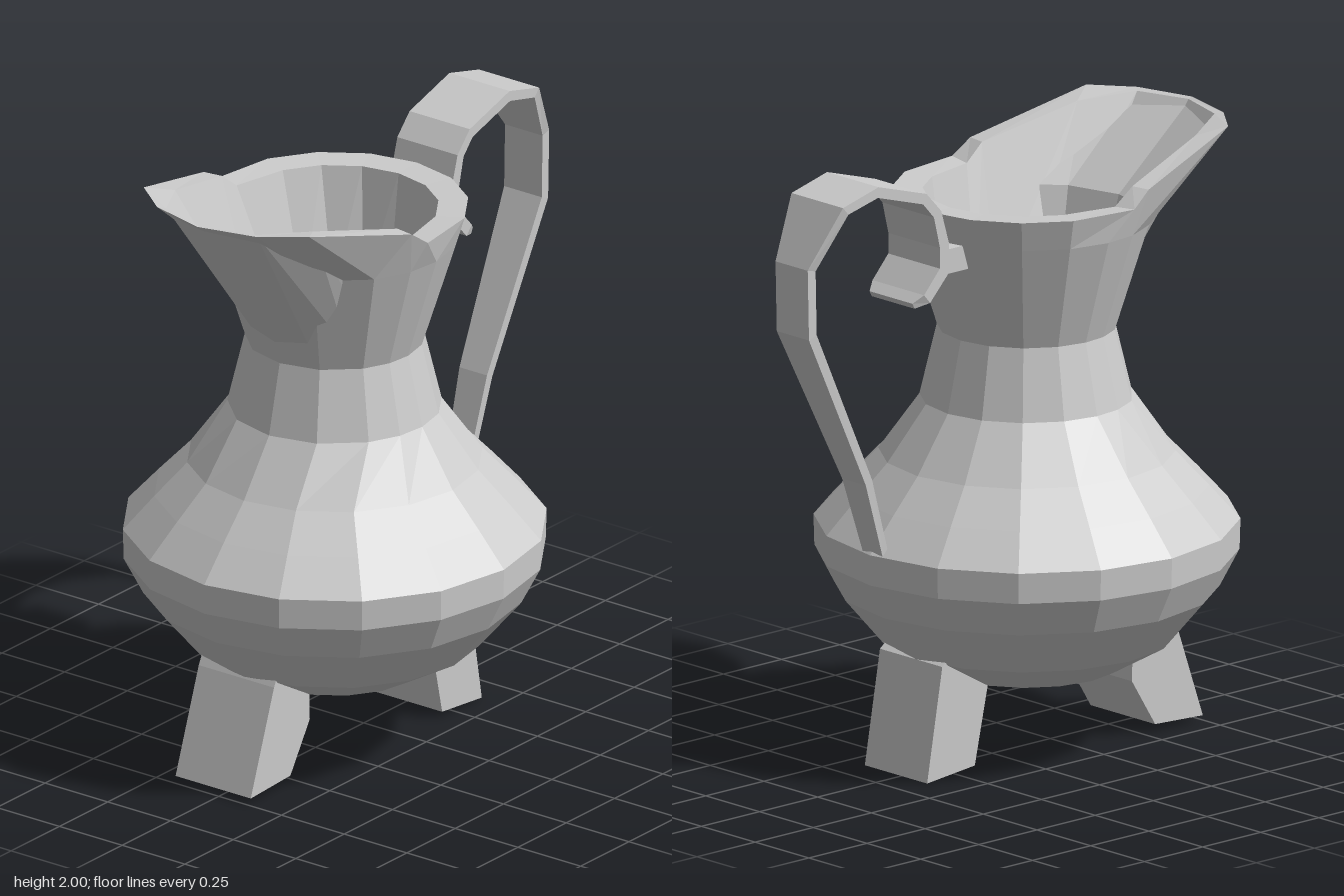
import * as THREE from 'three';

const V = (x, y, z) => new THREE.Vector3(x, y, z);
const material = new THREE.MeshStandardMaterial({ color: 0xcccccc, flatShading: true, side: THREE.DoubleSide });

function addMesh(group, name, geometry) {
  const mesh = new THREE.Mesh(geometry, material);
  mesh.name = name;
  group.add(mesh);
  return mesh;
}

// Skin a stack of closed rings; rings run counterclockwise about the stacking direction
function loft(rings) {
  const points = [];
  for (let i = 0; i < rings.length - 1; i++) {
    const a = rings[i], b = rings[i + 1], n = a.length;
    for (let j = 0; j < n; j++) {
      const k = (j + 1) % n;
      points.push(a[j], a[k], b[k], a[j], b[k], b[j]);
    }
  }
  const geometry = new THREE.BufferGeometry().setFromPoints(points);
  geometry.computeVertexNormals();
  return geometry;
}

// Collapse a ring to its centre, to close an end
function collapse(ring) {
  const centre = ring.reduce((sum, p) => sum.add(p), V(0, 0, 0)).divideScalar(ring.length);
  return ring.map(() => centre);
}

// Mirror half a ring, given front to back, into a full one
function mirrorRing(half) {
  const other = half.slice(1, -1).reverse().map(p => V(-p.x, p.y, p.z));
  return [...half, ...other];
}

const CENTRE_Z = 0.15;
const even = [0, 22.5, 45, 67.5, 90, 112.5, 135, 157.5, 180];
const spouted = [0, 28, 56, 75, 92, 112.5, 135, 157.5, 180];

function ring(y, rx, rz = rx, angles = y < 1 ? even : spouted) {
  return mirrorRing(angles.map(a => {
    const t = THREE.MathUtils.degToRad(a);
    return V(rx * Math.sin(t), y, CENTRE_Z + rz * Math.cos(t));
  }));
}

// A rim: shaped points for the spout, then a round back half
function rim(front, y, r) {
  const back = spouted.slice(front.length).map(a => {
    const t = THREE.MathUtils.degToRad(a);
    return V(r * Math.sin(t), y, CENTRE_Z + r * Math.cos(t));
  });
  return mirrorRing([...front.map(p => V(...p)), ...back]);
}

// Ribbon with rectangular section along [z, y, half width, thickness] stations
function ribbon(stations) {
  const side = V(1, 0, 0);
  const rings = stations.map(([z, y, w, h], i) => {
    const before = stations[Math.max(i - 1, 0)];
    const after = stations[Math.min(i + 1, stations.length - 1)];
    const along = V(0, after[1] - before[1], after[0] - before[0]).normalize();
    const normal = along.cross(side);
    return [[1, 1], [-1, 1], [-1, -1], [1, -1]].map(([s, n]) =>
      V(s * w, y, z).addScaledVector(normal, n * h / 2));
  });
  return loft([collapse(rings[0]), ...rings, collapse(rings.at(-1))]);
}

// Leg: side outline in [z, y], extruded across x
function leg(outline, width, x) {
  const shape = new THREE.Shape(outline.map(p => new THREE.Vector2(...p)));
  const geometry = new THREE.ExtrudeGeometry(shape, { depth: width, bevelEnabled: false });
  return geometry.translate(0, 0, -width / 2).rotateY(-Math.PI / 2).translate(x, 0, 0);
}

export function createModel() {
  const jug = new THREE.Group();
  jug.name = 'jug';

  // Belly and neck
  const profile = [[0.27, 0.3], [0.37, 0.475], [0.53, 0.61], [0.65, 0.672], [0.75, 0.675],
    [0.86, 0.575], [0.97, 0.47], [1.15, 0.34], [1.38, 0.285], [1.73, 0.395]];
  const outer = profile.map(([y, r]) => ring(y, r));
  addMesh(jug, 'body', loft([collapse(outer[0]), ...outer]));

  // Flared rim drawn out into the spout, with a narrow flat lip
  const outerRim = rim([[0, 1.99, 0.86], [0.2, 1.99, 0.81], [0.33, 1.99, 0.71],
    [0.415, 1.88, 0.29], [0.425, 1.83, 0.22]], 1.83, 0.425);
  const innerRim = rim([[0, 1.985, 0.845], [0.18, 1.985, 0.79], [0.275, 1.965, 0.62],
    [0.35, 1.88, 0.28], [0.345, 1.825, 0.21]], 1.825, 0.33);
  addMesh(jug, 'spoutAndRim', loft([outer.at(-1), outerRim, innerRim]));

  // Hollow inside
  const inner = [innerRim, ring(1.42, 0.225, 0.28), ring(1.15, 0.28), ring(0.97, 0.4),
    ring(0.75, 0.6), ring(0.55, 0.55), ring(0.32, 0.3)];
  addMesh(jug, 'interior', loft([...inner, collapse(inner.at(-1))]));

  // Handle: curl under the rim, over the top and down to the belly
  addMesh(jug, 'handle', ribbon([
    [-0.43, 1.57, 0.1, 0.02], [-0.39, 1.59, 0.12, 0.04], [-0.315, 1.67, 0.12, 0.045],
    [-0.315, 1.75, 0.12, 0.04], [-0.345, 1.86, 0.12, 0.035], [-0.4, 1.92, 0.12, 0.035],
    [-0.6, 1.98, 0.12, 0.035], [-0.74, 1.945, 0.12, 0.035], [-0.845, 1.76, 0.075, 0.035],
    [-0.84, 1.54, 0.075, 0.035], [-0.58, 1.01, 0.055, 0.03], [-0.49, 0.72, 0.045, 0.025]]));
  const joint = addMesh(jug, 'handleJoint', new THREE.BoxGeometry(0.21, 0.08, 0.12));
  joint.position.set(0, 1.69, -0.26);

  // Splayed feet
  addMesh(jug, 'frontLeg', leg(
    [[0.59, 0.42], [0.62, 0.36], [0.74, 0.02], [0.535, 0.03], [0.435, 0.19], [0.44, 0.35]], 0.3, -0.03));
  addMesh(jug, 'backLeg', leg(
    [[-0.13, 0.27], [-0.185, 0.02], [-0.39, 0], [-0.325, 0.37], [-0.26, 0.42], [-0.13, 0.35]], 0.29, 0.025));

  return jug;
}
